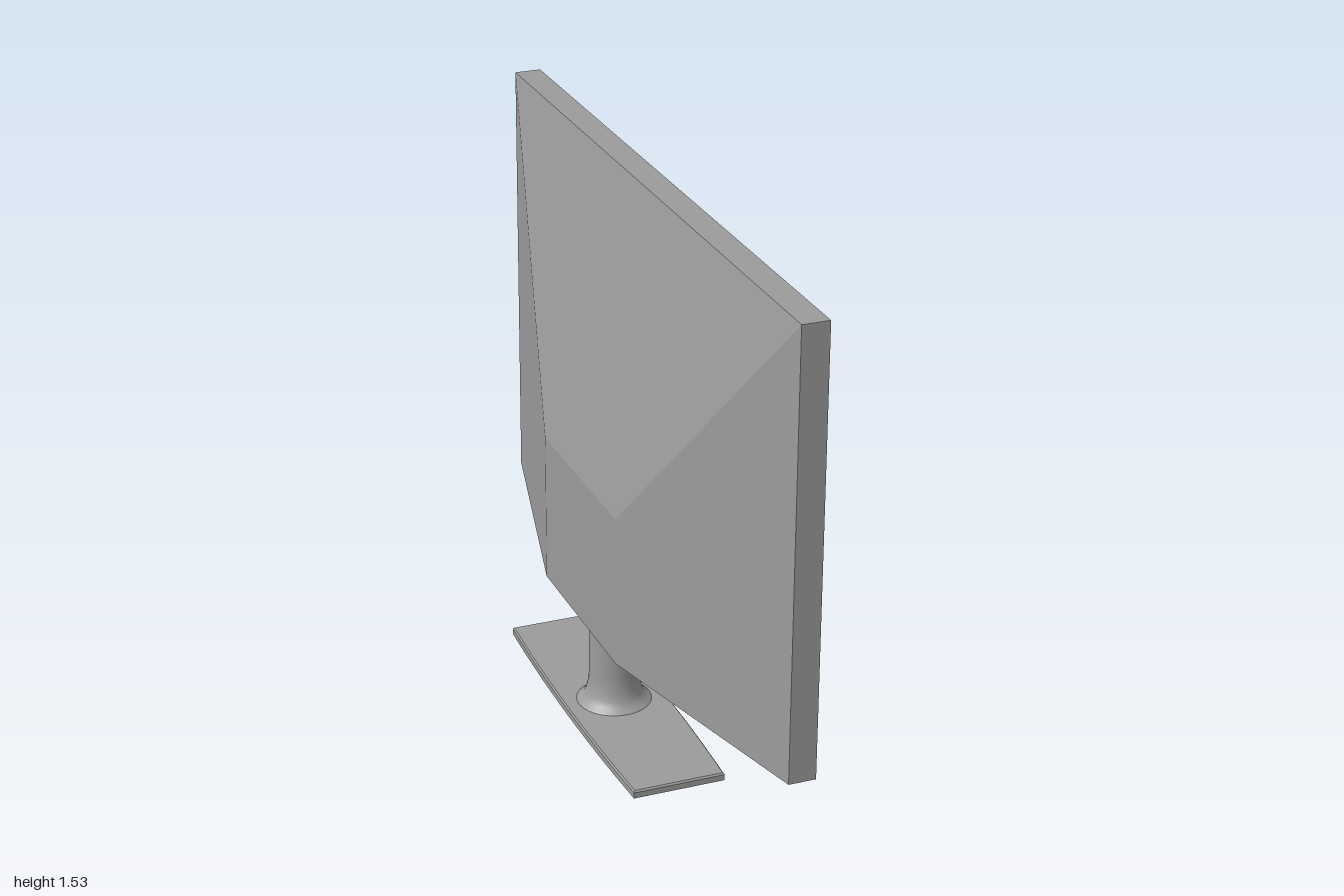
import * as THREE from 'three';

const grey = (extra = {}) => new THREE.MeshStandardMaterial({ color: 0x9b9b9b, ...extra });

// Flat-faced loft through rectangles [x, bottom, top, halfWidth], ordered back to front
function loftRects(rects, capBack, capFront) {
  const rings = rects.map(([x, y0, y1, z]) => [[x, y0, z], [x, y0, -z], [x, y1, -z], [x, y1, z]]);
  const pos = [];
  const quad = (a, b, c, d) => pos.push(...a, ...b, ...c, ...a, ...c, ...d);
  for (let r = 0; r < rings.length - 1; r++) {
    const a = rings[r], b = rings[r + 1];
    for (let i = 0; i < 4; i++) {
      const j = (i + 1) % 4;
      quad(a[i], a[j], b[j], b[i]);
    }
  }
  if (capBack) quad(...[...rings[0]].reverse());
  if (capFront) quad(...rings[rings.length - 1]);
  return flatGeometry(pos);
}

function flatGeometry(pos) {
  const g = new THREE.BufferGeometry();
  g.setAttribute('position', new THREE.Float32BufferAttribute(pos, 3));
  g.computeVertexNormals();
  return g;
}

// Foot plan with bowed long edges, shrunk by an inset
function footOutline(inset) {
  const end = 0.13 - inset, bow = 0.156 - inset, len = 0.486 - inset;
  const s = new THREE.Shape();
  s.moveTo(end, -len);
  s.quadraticCurveTo(bow, 0, end, len);
  s.lineTo(-end, len);
  s.quadraticCurveTo(-bow, 0, -end, -len);
  s.closePath();
  return s;
}

export function createModel() {
  const group = new THREE.Group();
  const add = (name, geometry, material) => {
    const mesh = new THREE.Mesh(geometry, material);
    mesh.name = name;
    group.add(mesh);
    return mesh;
  };

  // Housing: tapered back, straight rim, bezel and sloped inner lip
  const lip = [0.13, 0.328, 1.492, 0.965];
  add('housing', loftRects([
    [-0.107, 0.29, 0.72, 0.27],
    [0.074, 0.29, 1.53, 1],
    [0.149, 0.29, 1.53, 1],
    [0.149, 0.314, 1.506, 0.979],
    lip,
  ], true, false), grey());

  // Recessed display panel
  add('screen', loftRects([lip], false, true), grey());

  // Neck: open tube flaring into the foot
  const cx = -0.007, footTop = 0.022, footEdge = 0.017;
  const profile = [[0.105, footTop], [0.099, 0.028], [0.088, 0.036], [0.08, 0.05],
    [0.075, 0.068], [0.071, 0.09], [0.07, 0.12], [0.07, 0.3]].map(([r, y]) => new THREE.Vector2(r, y));
  add('neck', new THREE.LatheGeometry(profile, 40), grey({ side: THREE.DoubleSide })).position.x = cx;

  // Foot: shallow open shell with a hole under the neck
  const outer = footOutline(0).getPoints(12);
  const topShape = footOutline(0.004);
  const inner = topShape.getPoints(12);
  const hole = new THREE.Path();
  hole.absarc(0, 0, 0.105, 0, Math.PI * 2, true);
  topShape.holes.push(hole);
  const top = new THREE.ShapeGeometry(topShape, 12);
  top.rotateX(-Math.PI / 2);
  add('footTop', top, grey({ side: THREE.DoubleSide })).position.set(cx, footTop, 0);

  // Foot rim: vertical wall and a small bevel up to the top
  const levels = [[outer, 0], [outer, footEdge], [inner, footTop]];
  const wall = [];
  for (let l = 0; l < 2; l++) {
    const [low, y0] = levels[l], [high, y1] = levels[l + 1];
    for (let i = 0; i < low.length - 1; i++) {
      const p = [low[i].x, y0, -low[i].y], q = [low[i + 1].x, y0, -low[i + 1].y];
      const pt = [high[i].x, y1, -high[i].y], qt = [high[i + 1].x, y1, -high[i + 1].y];
      wall.push(...p, ...q, ...qt, ...p, ...qt, ...pt);
    }
  }
  add('footRim', flatGeometry(wall), grey({ side: THREE.DoubleSide })).position.x = cx;

  return group;
}
